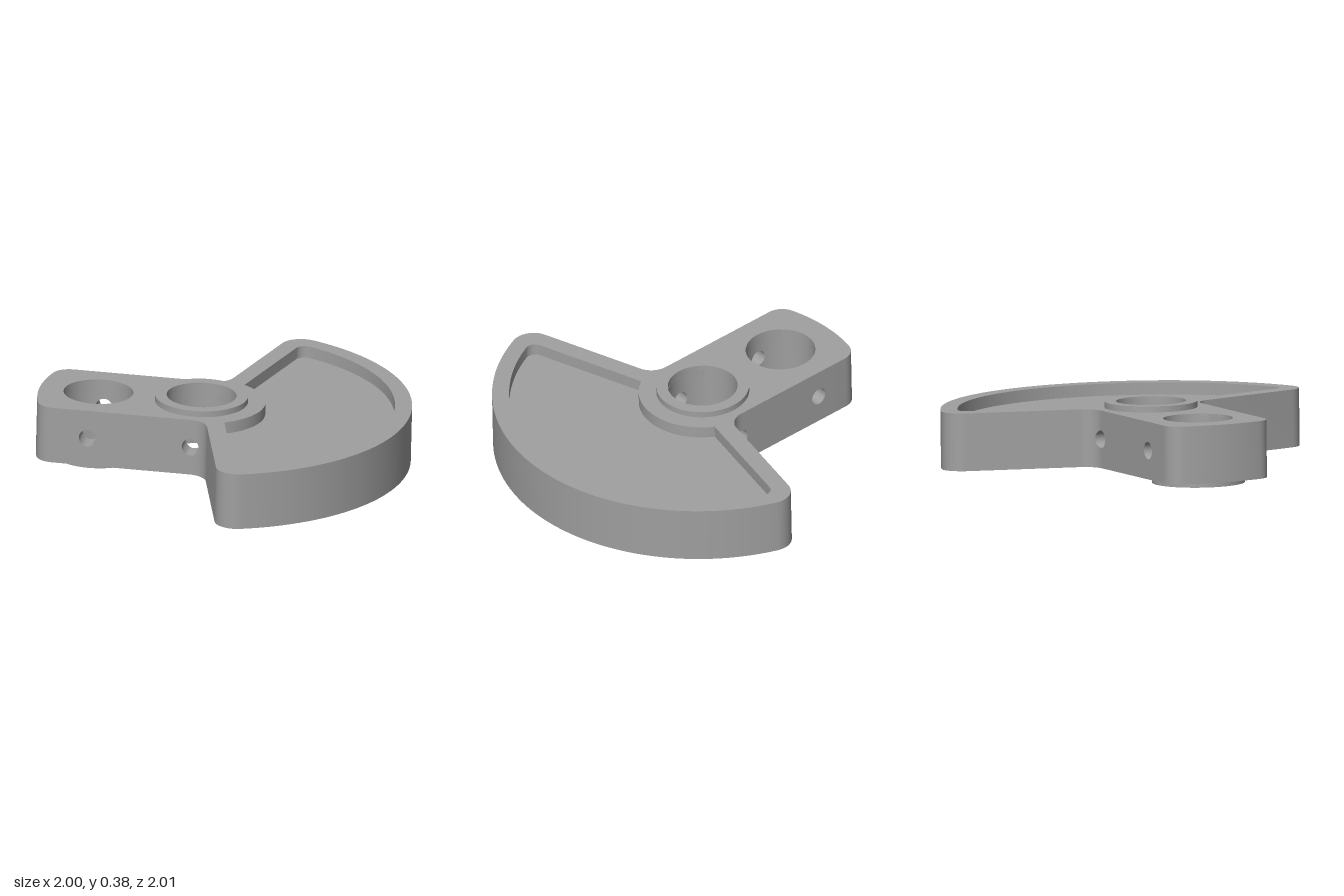
import * as THREE from 'three';
import { toCreasedNormals } from 'three/addons/utils/BufferGeometryUtils.js';

const rad = THREE.MathUtils.degToRad;
const T = 0.31, MID = T / 2;             // plate thickness
const BORE = 0.186, DRILL = 0.047;       // shaft bores and cross drillings
const BORES = [0, -0.558];               // bore centres along the arm axis
const HALF = 0.3, FILLET = 0.11;         // arm half width, arm-to-sector fillet
const R = 1.123, TIP = 0.115;            // counterweight radius and tip rounding
const SWEEP = 75;                        // counterweight half angle

// Points on an arc, angles in degrees
function arc(cx, cy, r, a0, a1, n = 12) {
  return Array.from({ length: n + 1 }, (_, i) => {
    const a = rad(a0 + (a1 - a0) * i / n);
    return new THREE.Vector2(cx + r * Math.cos(a), cy + r * Math.sin(a));
  });
}
const polar = (r, deg) => [r * Math.cos(rad(deg)), r * Math.sin(rad(deg))];
const asinDeg = v => THREE.MathUtils.radToDeg(Math.asin(v));
const flipV = pts => pts.map(p => new THREE.Vector2(p.x, -p.y)).reverse();

// Vertical wall along a path; faces outward when the angle increases
function wall(pts, y0 = 0, y1 = T) {
  const pos = [], idx = [];
  pts.forEach((p, i) => {
    pos.push(p.x, y0, p.y, p.x, y1, p.y);
    if (i) { const a = 2 * i - 2; idx.push(a, a + 3, a + 2, a, a + 1, a + 3); }
  });
  const g = new THREE.BufferGeometry();
  g.setAttribute('position', new THREE.Float32BufferAttribute(pos, 3));
  g.setIndex(idx);
  return g;
}

// Wall panel with a round hole, bent to follow depth(x)
function drilledPanel(cx, hw, depth) {
  const g = new THREE.RingGeometry(1, 2, 32, 5), p = g.attributes.position;
  for (let i = 0; i < p.count; i++) {
    const rho = Math.hypot(p.getX(i), p.getY(i)), t = rho - 1;
    const c = p.getX(i) / rho, s = p.getY(i) / rho, m = Math.max(Math.abs(c), Math.abs(s));
    const x = THREE.MathUtils.lerp(c * DRILL, c / m * hw, t);
    const y = THREE.MathUtils.lerp(s * DRILL, s / m * MID, t);
    p.setXYZ(i, cx + x, MID + y, depth(cx + x));
  }
  return g;
}

// Flat face from an outline, pointing up or down
function cap(outline, holes, y, up) {
  const s = new THREE.Shape(outline);
  s.holes = holes.map(h => new THREE.Path(h));
  return new THREE.ShapeGeometry(s).rotateX(up ? -Math.PI / 2 : Math.PI / 2).translate(0, y, 0);
}

// Raised ring around a bore
function ring(cx, y, h) {
  const s = new THREE.Shape(arc(cx, 0, 0.248, 0, 360, 64).slice(0, -1));
  s.holes.push(new THREE.Path(arc(cx, 0, BORE, 0, 360, 64).slice(0, -1)));
  return new THREE.ExtrudeGeometry(s, { depth: h, bevelEnabled: false })
    .rotateX(-Math.PI / 2).translate(0, y, 0);
}

// Optional mirroring across the arm axis and winding flip, then creased normals
function finish(geo, mirror, flip) {
  const g = geo.index ? geo.toNonIndexed() : geo.clone();
  g.deleteAttribute('uv');
  g.deleteAttribute('normal');
  if (mirror) g.scale(1, 1, -1);
  if (mirror !== flip) {
    const p = g.attributes.position;
    for (let i = 0; i < p.count; i += 3) {
      const b = [p.getX(i + 1), p.getY(i + 1), p.getZ(i + 1)];
      p.setXYZ(i + 1, p.getX(i + 2), p.getY(i + 2), p.getZ(i + 2));
      p.setXYZ(i + 2, ...b);
    }
  }
  return toCreasedNormals(g, 0.6);
}

export function createModel() {
  const metal = new THREE.MeshStandardMaterial({ color: 0xa0a0a0, side: THREE.DoubleSide });
  metal.name = 'grey metal';
  const web = new THREE.Group();
  web.name = 'crankWeb';
  const add = (name, geo, mirror = false, flip = false) => {
    const m = new THREE.Mesh(finish(geo, mirror, flip), metal);
    m.name = name;
    web.add(m);
  };
  const addPair = (name, geo, flip = false) => {
    add(name + 'Left', geo, false, flip);
    add(name + 'Right', geo, true, flip);
  };

  // Half outline: counterweight, fillet, arm side, arm end
  const tipAngle = SWEEP - asinDeg(TIP / (R - TIP));
  const fv = HALF + FILLET;
  const fu = (Math.cos(rad(SWEEP)) * fv - FILLET) / Math.sin(rad(SWEEP));
  const split = -90 + asinDeg((0.06 - fu) / FILLET);
  const sector = [
    ...arc(0, 0, R, 0, tipAngle, 40),
    ...arc(...polar(R - TIP, tipAngle), TIP, tipAngle, SWEEP + 90).slice(1),
    ...arc(fu, fv, FILLET, SWEEP - 90, split, 8),
  ];
  const END = 0.875, er = 0.1, ev = HALF - er;
  const eu = -Math.sqrt((END - er) ** 2 - ev * ev);
  const endAngle = 180 - asinDeg(ev / (END - er));
  const armEnd = [
    ...arc(eu, ev, er, 90, endAngle),
    ...arc(0, 0, END, endAngle, 180, 10).slice(1),
  ];
  const half = [...sector, ...arc(fu, fv, FILLET, split, -90, 8).slice(1), ...armEnd];
  const outline = [...half, ...flipV(half).slice(1, -1)];

  // Half outline of the shallow pocket
  const PR = 1.032, pc = 0.05, rim = 0.097, hub = 0.342;
  const pAngle = SWEEP - asinDeg((rim + pc) / (PR - pc));
  const pocketHalf = [
    ...arc(0, 0, PR, 0, pAngle, 40),
    ...arc(...polar(PR - pc, pAngle), pc, pAngle, SWEEP + 90, 8).slice(1),
    ...arc(0, 0, hub, SWEEP - asinDeg(rim / hub), 0, 16),
  ];
  const pocket = [...pocketHalf, ...flipV(pocketHalf).slice(1, -1)];
  const floorY = T - 0.065;

  // Plate faces and pocket
  const boreLoops = BORES.map(u => arc(u, 0, BORE, 0, 360, 64).slice(0, -1));
  add('bottomFace', cap(outline, boreLoops, 0, false));
  add('topFace', cap(outline, [...boreLoops, pocket], T, true));
  add('pocketFloor', cap(pocket, [], floorY, true));
  add('pocketWall', wall([...pocket, pocket[0]], floorY, T), false, true);

  // Outer walls, with drilled panels on the arm sides
  const sideDepth = u => u <= fu ? HALF : fv - Math.sqrt(Math.max(0, FILLET ** 2 - (u - fu) ** 2));
  const onSide = u => new THREE.Vector2(u, HALF);
  const pin = BORES[1];
  addPair('counterweightWall', wall(sector));
  addPair('armWall', wall([onSide(-0.06), onSide(pin + 0.1)]));
  addPair('armEndWall', wall([onSide(pin - 0.1), ...armEnd]));
  addPair('armShaftPanel', drilledPanel(0, 0.06, sideDepth));
  addPair('armPinPanel', drilledPanel(pin, 0.1, sideDepth));

  // Bores and the cross drillings that reach them
  BORES.forEach((u, i) => {
    const name = i ? 'pin' : 'shaft';
    const boreDepth = x => Math.sqrt(Math.max(0, BORE ** 2 - (x - u) ** 2));
    addPair(name + 'BoreDrilled', drilledPanel(u, BORE * Math.SQRT1_2, boreDepth), true);
    add(name + 'BoreFront', wall(arc(u, 0, BORE, 45, -45, 16)));
    add(name + 'BoreBack', wall(arc(u, 0, BORE, 225, 135, 16)));
    const drill = new THREE.CylinderGeometry(DRILL, DRILL, 1, 32, 1, true)
      .rotateX(Math.PI / 2).translate(u, MID, 0);
    const p = drill.attributes.position;
    for (let k = 0; k < p.count; k++) {
      p.setZ(k, (p.getZ(k) > 0 ? sideDepth : boreDepth)(p.getX(k)));
    }
    addPair(name + 'CrossHole', drill, true);
  });

  // Thrust rings: above the shaft bore, below the pin bore
  add('shaftRing', ring(0, T, 0.033));
  add('pinRing', ring(pin, -0.033, 0.033));

  // Arm axis runs diagonally and leans slightly
  web.rotation.set(0, rad(18.5), -0.024, 'YXZ');
  web.position.set(-0.125, 0.027, 0.112);
  const model = new THREE.Group();
  model.name = 'crankCounterweight';
  model.add(web);
  return model;
}
